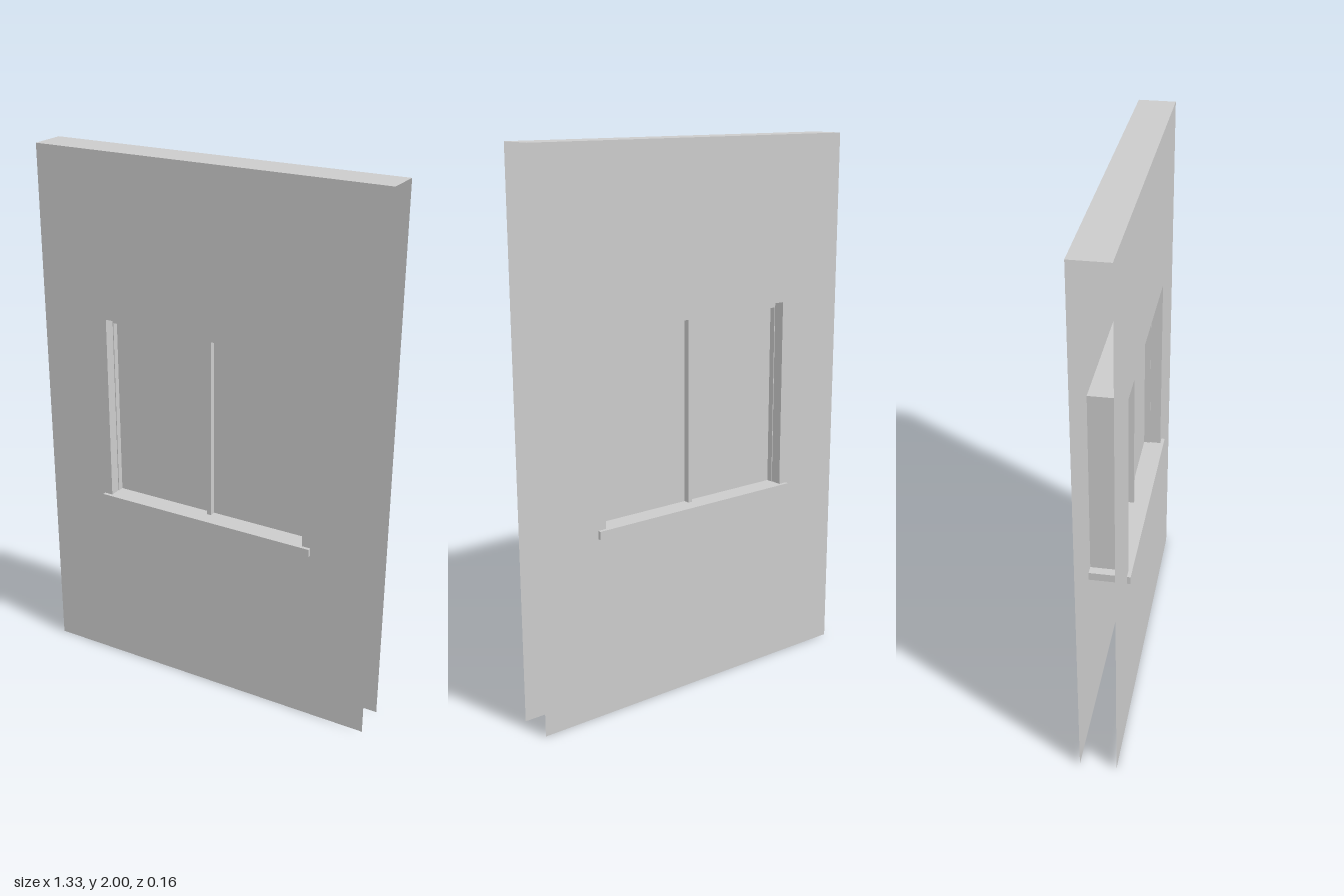
import * as THREE from 'three';

const W = 1.333, H = 2, T = 0.134;            // wall
const OX = 0.4, OY0 = 0.7, OY1 = 1.4;         // window opening
const FRAME_DEPTH = 0.05;

export function createModel() {
  const model = new THREE.Group();
  const mat = new THREE.MeshStandardMaterial({ color: 0xcccccc, side: THREE.DoubleSide });

  const add = (parent, name, geometry, x = 0, y = 0, z = 0) => {
    const mesh = new THREE.Mesh(geometry, mat);
    mesh.name = name;
    mesh.position.set(x, y, z);
    parent.add(mesh);
    return mesh;
  };
  const group = (name) => {
    const g = new THREE.Group();
    g.name = name;
    model.add(g);
    return g;
  };
  const midY = (OY0 + OY1) / 2, openH = OY1 - OY0;

  // Hollow wall: two pierced skins and a top, open at the ends and below
  const wall = group('wall');
  const skin = new THREE.Shape([
    new THREE.Vector2(-W / 2, 0), new THREE.Vector2(W / 2, 0),
    new THREE.Vector2(W / 2, H), new THREE.Vector2(-W / 2, H),
  ]);
  skin.holes.push(new THREE.Path([
    new THREE.Vector2(-OX, OY0), new THREE.Vector2(-OX, OY1),
    new THREE.Vector2(OX, OY1), new THREE.Vector2(OX, OY0),
  ]));
  const skinGeometry = new THREE.ShapeGeometry(skin);
  add(wall, 'frontSkin', skinGeometry, 0, 0, T / 2);
  add(wall, 'backSkin', skinGeometry, 0, 0, -T / 2).rotation.y = Math.PI;
  add(wall, 'wallTop', new THREE.PlaneGeometry(W, T).rotateX(-Math.PI / 2), 0, H);

  // Reveal lining the opening
  const reveal = group('reveal');
  add(reveal, 'revealHead', new THREE.PlaneGeometry(2 * OX, T).rotateX(Math.PI / 2), 0, OY1);
  for (const s of [-1, 1]) {
    const jamb = new THREE.PlaneGeometry(T, openH).rotateY(-s * Math.PI / 2);
    add(reveal, s > 0 ? 'leftJamb' : 'rightJamb', jamb, s * OX, midY);
  }

  // Frame: deep head rail, slim stiles, centre mullion
  const frame = group('windowFrame');
  add(frame, 'headRail', new THREE.BoxGeometry(2 * OX, 0.025, FRAME_DEPTH), 0, OY1 - 0.0125);
  add(frame, 'mullion', new THREE.BoxGeometry(0.016, openH - 0.025, FRAME_DEPTH), 0, midY - 0.0125);
  for (const s of [-1, 1]) {
    add(frame, s > 0 ? 'leftStile' : 'rightStile',
      new THREE.BoxGeometry(0.003, openH, FRAME_DEPTH), s * (OX - 0.0015), midY);
  }

  // One pane on each side of the mullion
  for (const s of [-1, 1]) {
    add(model, s > 0 ? 'leftPane' : 'rightPane',
      new THREE.BoxGeometry(OX, openH - 0.02, 0.005), s * OX / 2, midY - 0.01);
  }

  // Sill projecting on both faces of the wall
  add(model, 'sill', new THREE.BoxGeometry(0.865, 0.03, 0.16), 0, OY0 - 0.015);

  return model;
}
